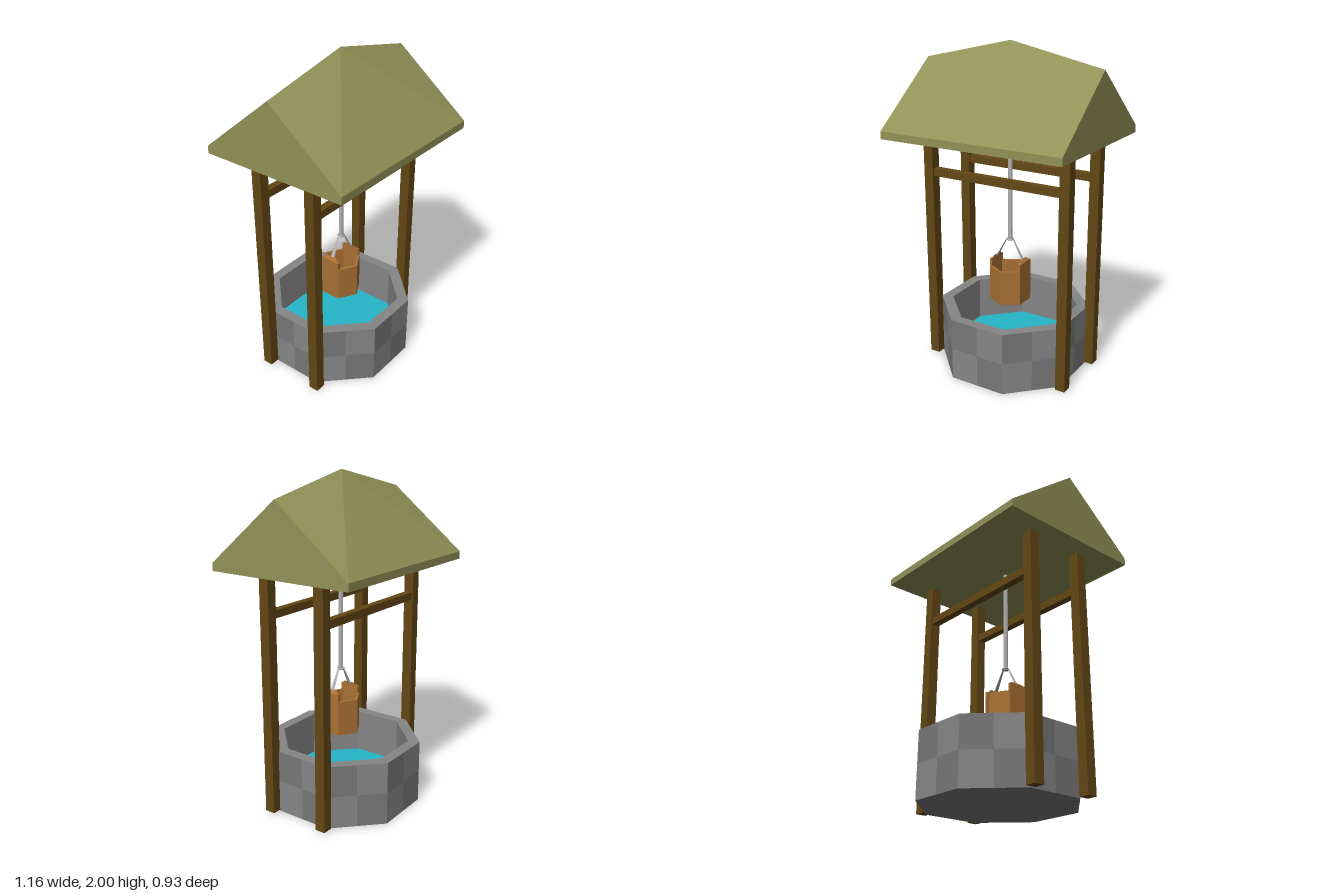
import * as THREE from 'three';
import { ConvexGeometry } from 'three/addons/geometries/ConvexGeometry.js';

const mat = (color) => new THREE.MeshStandardMaterial({ color, flatShading: true, side: THREE.DoubleSide });
const v = (x, y, z) => new THREE.Vector3(x, y, z);

export function createModel() {
  const model = new THREE.Group();
  const thatch = mat(0x929258), wood = mat(0x644715), timber = mat(0xa97034);
  const stoneA = mat(0x868686), stoneB = mat(0x787878), metal = mat(0xb0b0b0), blue = mat(0x24b5c8);

  const add = (parent, name, geometry, material, x = 0, y = 0, z = 0) => {
    const mesh = new THREE.Mesh(geometry, material);
    mesh.name = name;
    mesh.position.set(x, y, z);
    parent.add(mesh);
    return mesh;
  };
  // Faceted solid of revolution from [radius, height] pairs
  const lathe = (pts, sides, start) =>
    new THREE.LatheGeometry(pts.map(([r, y]) => new THREE.Vector2(r, y)), sides, start);
  // Round bar between two points, with separate end radii
  const bar = (parent, name, a, b, rTop, rBottom, material) => {
    const dir = b.clone().sub(a);
    const mesh = add(parent, name, new THREE.CylinderGeometry(rTop, rBottom, dir.length(), 8), material);
    mesh.position.copy(a).addScaledVector(dir, 0.5);
    mesh.quaternion.setFromUnitVectors(v(0, 1, 0), dir.normalize());
    return mesh;
  };

  // Roof: flat-bottomed slab rising to a ridge that peaks in the middle
  const corners = [v(0, 2, 0), v(-0.582, 1.875, 0), v(0.582, 1.875, 0)];
  for (const x of [-0.582, 0.582])
    for (const z of [-0.465, 0.465]) corners.push(v(x, 1.455, z), v(x, 1.5, z));
  add(model, 'roof', new ConvexGeometry(corners), thatch);

  // Posts and the crossbars joining them
  for (const z of [0.17, -0.208]) {
    for (const x of [-0.453, 0.462])
      add(model, 'post', new THREE.BoxGeometry(0.063, 1.455, 0.063), wood, x, 0.7375, z);
    add(model, 'crossbar', new THREE.BoxGeometry(0.87, 0.047, 0.045), wood, 0.005, 1.22, z);
  }

  // Octagonal well
  const well = new THREE.Group();
  well.name = 'well';
  well.position.set(0.008, 0, -0.033);
  model.add(well);
  const R = 0.465, r = 0.395, H = 0.39, turn = Math.PI / 8;
  add(well, 'rimAndInnerWall', lathe([[R, H], [r, H], [r, 0.1]], 8, turn), stoneA);
  add(well, 'base', lathe([[0, 0.003], [R, 0.003]], 8, turn), stoneB);
  add(well, 'water', lathe([[r, 0.12], [0, 0.12]], 8, turn), blue);

  // Outer wall: two blocks per side and two courses, in alternating greys
  const rim = [];
  for (let i = 0; i < 8; i++) {
    const at = (k) => v(R * Math.sin(turn + k * Math.PI / 4), 0, R * Math.cos(turn + k * Math.PI / 4));
    rim.push(at(i), at(i).lerp(at(i + 1), 0.5));
  }
  const blocks = [[], []];
  rim.forEach((a, i) => {
    const b = rim[(i + 1) % 16];
    for (let row = 0; row < 2; row++) {
      const y0 = row ? 0.2 : 0.003, y1 = row ? H : 0.2;
      const quad = [v(a.x, y0, a.z), v(b.x, y0, b.z), v(b.x, y1, b.z), v(a.x, y1, a.z)];
      blocks[(i + row) % 2].push(...[0, 1, 2, 0, 2, 3].map((k) => quad[k]));
    }
  });
  blocks.forEach((pts, i) => {
    const geometry = new THREE.BufferGeometry().setFromPoints(pts);
    geometry.computeVertexNormals();
    add(well, 'wallBlocks', geometry, i ? stoneB : stoneA);
  });

  // Hexagonal bucket, open at the top
  const bucket = new THREE.Group();
  bucket.name = 'bucket';
  bucket.position.set(0, 0, 0.005);
  model.add(bucket);
  add(bucket, 'bucketBody',
    lathe([[0, 0.425], [0.125, 0.425], [0.125, 0.64], [0.107, 0.64], [0.107, 0.45], [0, 0.45]], 6, 0), timber);

  // Raised ears and handle rods on both sides
  for (const s of [-1, 1]) {
    add(bucket, 'ear', new THREE.BoxGeometry(0.016, 0.05, 0.124), timber, s * 0.1, 0.662, 0);
    const wedge = [];
    for (const z of [-1, 1])
      wedge.push(v(s * 0.108, 0.686, z * 0.05), v(s * 0.092, 0.686, z * 0.05), v(s * 0.09, 0.704, z * 0.036));
    add(bucket, 'earCap', new ConvexGeometry(wedge), timber);
    const rod = bar(bucket, 'handleRod', v(s * 0.092, 0.69, 0), v(s * 0.022, 0.818, 0), 0.006, 0.014, metal);
    rod.scale.x = 0.3;
  }

  // Rope with a small ring at its lower end
  add(model, 'rope', new THREE.CylinderGeometry(0.0145, 0.0145, 0.65, 8), metal, 0, 1.135, 0.005);
  const ring = add(model, 'ring', new THREE.TorusGeometry(0.019, 0.005, 6, 12), metal, 0, 0.817, 0.005);
  ring.rotation.x = Math.PI / 2;

  return model;
}
